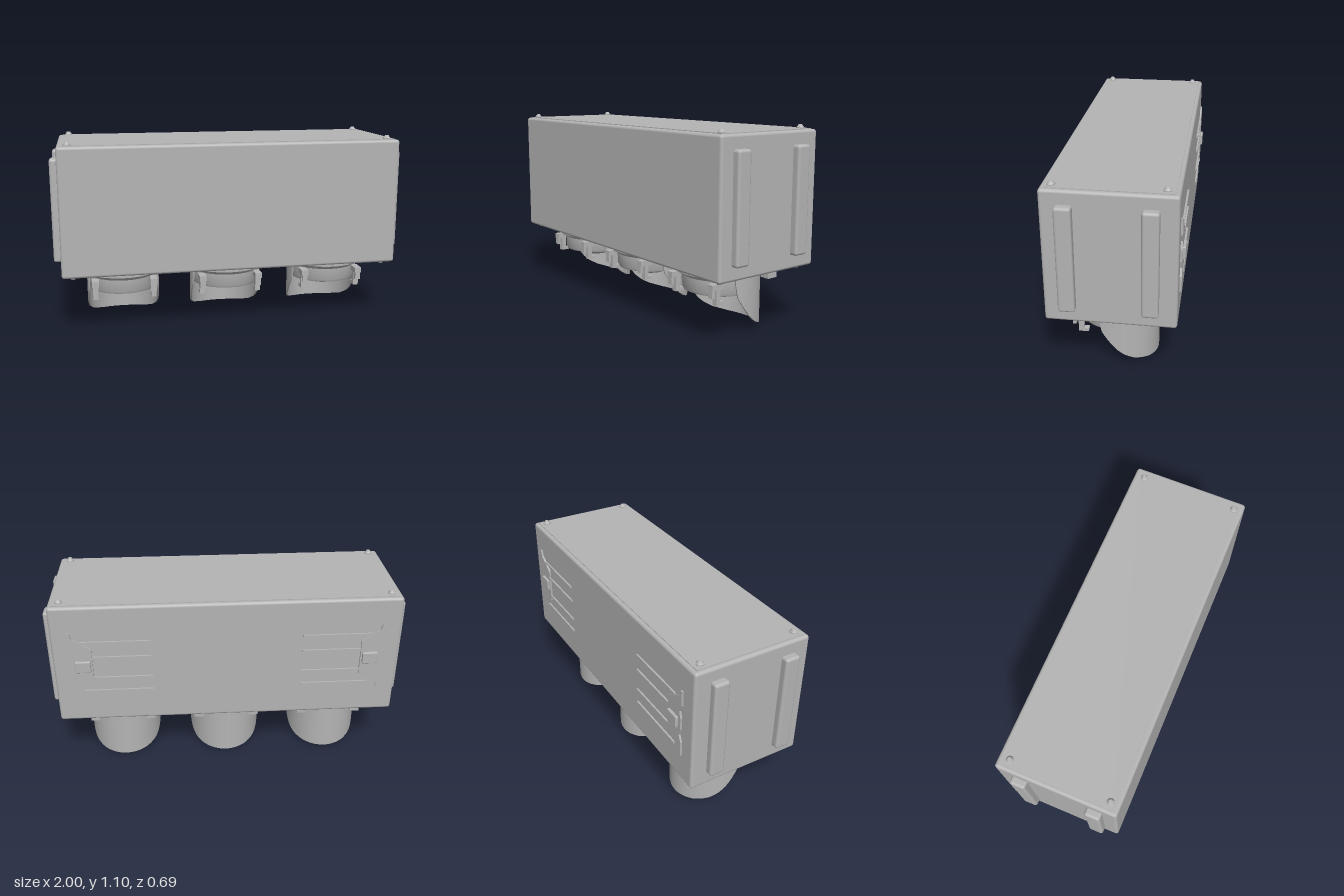
import * as THREE from 'three';
import { toCreasedNormals } from 'three/addons/utils/BufferGeometryUtils.js';
import { RoundedBoxGeometry } from 'three/addons/geometries/RoundedBoxGeometry.js';

const grey = new THREE.MeshStandardMaterial({ color: 0xb4b4b4 });
grey.name = 'plain grey';

function add(parent, name, geometry, x = 0, y = 0, z = 0) {
  const mesh = new THREE.Mesh(geometry, grey);
  mesh.name = name;
  mesh.position.set(x, y, z);
  parent.add(mesh);
  return mesh;
}

// Box given by its extents along each axis
function box(parent, name, [x0, x1], [y0, y1], [z0, z1], round = 0) {
  const size = [x1 - x0, y1 - y0, z1 - z0];
  const geo = round ? new RoundedBoxGeometry(...size, 4, round) : new THREE.BoxGeometry(...size);
  return add(parent, name, geo, (x0 + x1) / 2, (y0 + y1) / 2, (z0 + z1) / 2);
}

// Lower edge of the visor: height for a given z offset from the lamp axis
const EDGE = [[-0.235, 0], [-0.19, 0.01], [-0.12, 0.033], [-0.07, 0.062], [-0.03, 0.095],
  [0.01, 0.145], [0.05, 0.2], [0.058, 0.235], [0.065, 0.28]];
function edgeHeight(z) {
  for (let i = 1; i < EDGE.length; i++) {
    const [za, ya] = EDGE[i - 1], [zb, yb] = EDGE[i];
    if (z <= zb) return ya + (yb - ya) * Math.max(0, (z - za) / (zb - za));
  }
  return EDGE[EDGE.length - 1][1];
}

// Curved visor wall with thickness, open toward the front
function visorGeometry() {
  const n = 64, span = 1.85, top = 0.318, wall = 0.01, pos = [], index = [];
  for (let i = 0; i <= n; i++) {
    const a = -span + (2 * span * i) / n;
    const s = Math.sin(a), c = -Math.cos(a);
    const low = edgeHeight(0.235 * c);
    for (const [t, y] of [[0, top], [0, low], [wall, low], [wall, top]]) {
      pos.push((0.211 - t) * s, y, (0.235 - t) * c);
    }
  }
  for (let i = 0; i < n; i++) {
    for (let k = 0; k < 4; k++) {
      const a = i * 4 + k, b = i * 4 + (k + 1) % 4;
      index.push(a, a + 4, b + 4, a, b + 4, b);
    }
  }
  const e = n * 4;
  index.push(0, 1, 2, 0, 2, 3, e, e + 2, e + 1, e, e + 3, e + 2);
  const geo = new THREE.BufferGeometry();
  geo.setAttribute('position', new THREE.Float32BufferAttribute(pos, 3));
  geo.setIndex(index);
  return toCreasedNormals(geo, 0.6);
}

function lathe(points, segments, crease = 0.5) {
  const pts = points.map(([r, y]) => new THREE.Vector2(r, y));
  return toCreasedNormals(new THREE.LatheGeometry(pts, segments), crease);
}

// Lamp: stepped bezel, domed lens, visor and four clips
function createLamp(x) {
  const lamp = new THREE.Group();
  lamp.name = 'lamp';
  lamp.position.set(x, 0, 0.035);
  add(lamp, 'bezel', lathe([[0.17, 0.222], [0.172, 0.213], [0.193, 0.213], [0.199, 0.225],
    [0.203, 0.295], [0.215, 0.308], [0.23, 0.312], [0.235, 0.318], [0.235, 0.36]], 48));
  const dome = [];
  for (let i = 0; i <= 8; i++) {
    const r = 0.178 * i / 8;
    dome.push([r, 0.165 + 0.055 * (r / 0.178) ** 2]);
  }
  add(lamp, 'lens', lathe(dome, 48));
  add(lamp, 'visor', visorGeometry());
  for (const s of [-1, 1]) {
    const across = (a, b) => (s > 0 ? [a, b] : [-b, -a]);
    box(lamp, 'rearClip', across(0.135, 0.19), [0.265, 0.355], [-0.25, -0.205 + 0.02]);
    box(lamp, 'hookArm', across(0.145, 0.185), [0.265, 0.295], [0.13, 0.21]);
    box(lamp, 'hookTip', across(0.15, 0.18), [0.222, 0.27], [0.19, 0.208]);
    box(lamp, 'hookStem', across(0.15, 0.18), [0.18, 0.28], [0.15, 0.178]);
    box(lamp, 'hookFoot', across(0.15, 0.18), [0.18, 0.198], [0.125, 0.165]);
  }
  return lamp;
}

// Hinge plate, latch and slats on the back
function createHinge(s) {
  const hinge = new THREE.Group();
  hinge.name = 'hinge';
  const outline = [[0.868, 0.92], [0.855, 0.92], [0.845, 0.885], [0.745, 0.82], [0.745, 0.61],
    [0.845, 0.55], [0.855, 0.515], [0.868, 0.515], [0.868, 0.6], [0.85, 0.64],
    [0.862, 0.68], [0.862, 0.75], [0.85, 0.79], [0.868, 0.83]];
  const shape = new THREE.Shape(outline.map(([x, y]) => new THREE.Vector2(s * x, y)));
  add(hinge, 'hingePlate', new THREE.ExtrudeGeometry(shape, { depth: 0.015, bevelEnabled: false }), 0, 0, -0.331);
  const across = (a, b) => (s > 0 ? [a, b] : [-b, -a]);
  box(hinge, 'latch', across(0.755, 0.84), [0.68, 0.75], [-0.345, -0.32], 0.006);
  for (const y of [0.86, 0.765, 0.635, 0.55]) {
    box(hinge, 'slat', across(0.415, y > 0.8 || y < 0.6 ? 0.8 : 0.75), [y - 0.006, y + 0.006], [-0.33, -0.315]);
  }
  return hinge;
}

export function createModel() {
  const model = new THREE.Group();
  model.name = 'signalLight';

  // Housing with lid plate
  box(model, 'housing', [-0.96, 0.96], [0.352, 1.072], [-0.32, 0.348], 0.016);
  box(model, 'lid', [-0.938, 0.938], [1.06, 1.076], [-0.298, 0.318]);

  // Lamps along the underside
  for (const x of [-0.615, 0, 0.615]) model.add(createLamp(x));

  // Corner screws above and below
  const screw = lathe([[0.021, -0.006], [0.021, 0.006], [0.014, 0.013], [0.011, 0.02], [0, 0.021]], 20);
  for (const x of [-0.9, 0.9]) {
    for (const z of [-0.257, 0.293]) {
      add(model, 'topScrew', screw, x, 1.075, z);
      add(model, 'bottomScrew', screw, x, 0.354, z).rotation.x = Math.PI;
    }
  }

  // Upright bars on both ends, hinges on the back
  for (const s of [-1, 1]) {
    for (const z of [-0.187, 0.227]) {
      box(model, 'endBar', s > 0 ? [0.93, 1] : [-1, -0.93], [0.428, 1], [z - 0.043, z + 0.043], 0.015);
    }
    model.add(createHinge(s));
  }
  return model;
}
